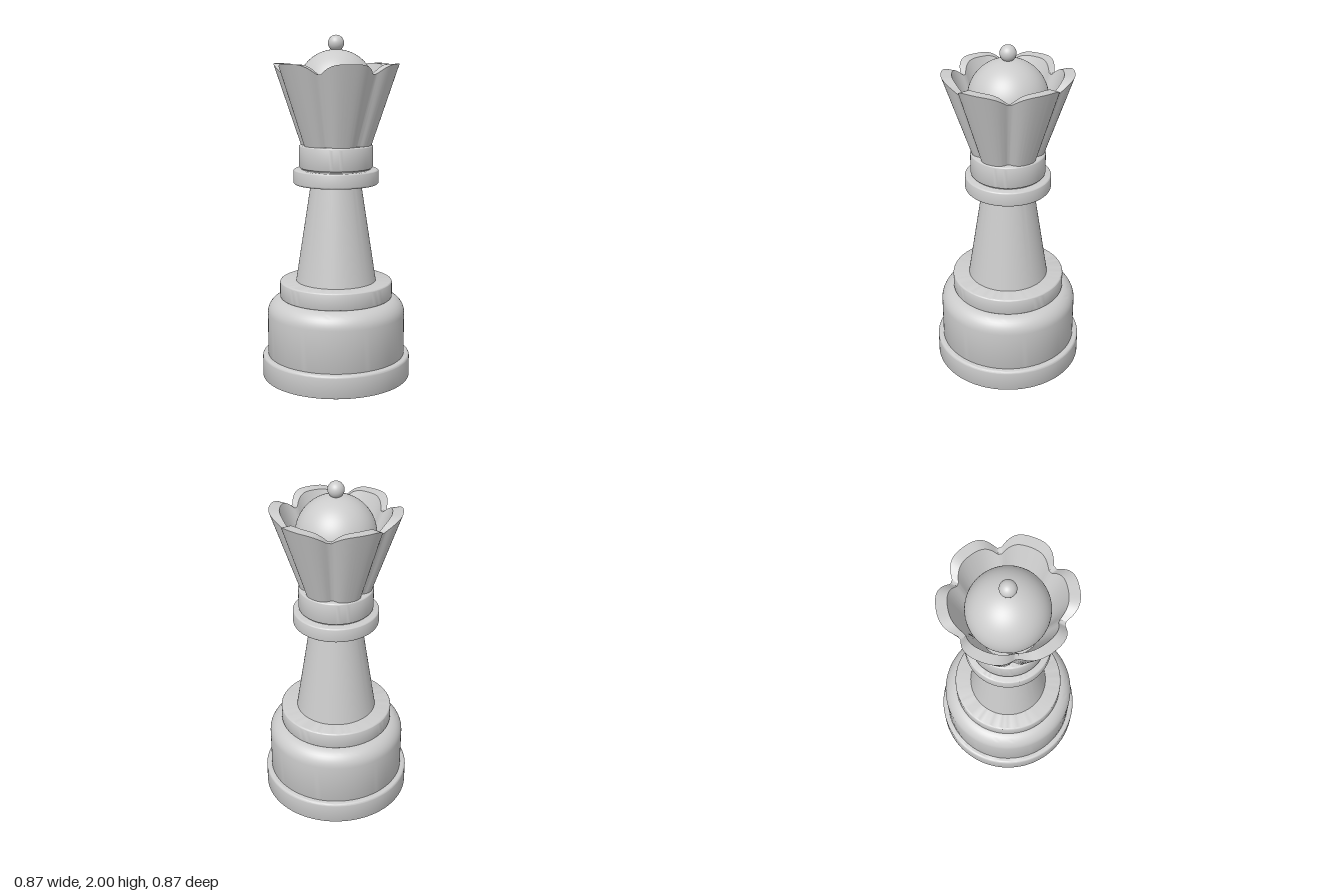
import * as THREE from 'three';
import { toCreasedNormals } from 'three/addons/utils/BufferGeometryUtils.js';

const material = new THREE.MeshStandardMaterial({ color: 0xcccccc });

function addPart(group, name, geometry) {
  const mesh = new THREE.Mesh(geometry, material);
  mesh.name = name;
  group.add(mesh);
  return mesh;
}

function lathe(points) {
  const geometry = new THREE.LatheGeometry(points.map(([r, y]) => new THREE.Vector2(r, y)), 96);
  return toCreasedNormals(geometry, 0.6);
}

// Quarter arc turning from the side wall (turn = 0) to the top (turn = 1)
function arc(points, cx, cy, radius, from, to, steps = 5) {
  for (let i = 0; i <= steps; i++) {
    const a = from + ((to - from) * i) / steps;
    points.push([cx + radius * Math.cos(a), cy + radius * Math.sin(a)]);
  }
}

// Solid disc with separately rounded bottom and top edges
function disc(radius, y0, y1, bottom = 0.012, top = 0.012) {
  const points = [[0, y0]];
  arc(points, radius - bottom, y0 + bottom, bottom, -Math.PI / 2, 0);
  arc(points, radius - top, y1 - top, top, 0, Math.PI / 2, top > 0.05 ? 10 : 5);
  points.push([0, y1]);
  return lathe(points);
}

// Flared cup with six petals, lofted through rings that share one lobed outline
function crownGeometry() {
  const N = 192, turn = 0.04;
  // [valley radius, petal radius, valley height, petal height]
  const rings = [
    [0, 0, 1.37, 1.37],
    [0.175, 0.204, 1.37, 1.37],
    [0.31, 0.363, 1.785, 1.84],
    [0.275, 0.304, 1.78, 1.838],
    [0.165, 0.185, 1.5, 1.5],
    [0, 0, 1.5, 1.5],
  ];
  const positions = [], index = [];
  for (const [r0, r1, y0, y1] of rings) {
    for (let j = 0; j < N; j++) {
      const a = (j / N) * Math.PI * 2;
      const t = Math.max(0, (Math.abs(Math.sin(3 * a)) - 0.12) / 0.88);
      const lobe = Math.sin((t * Math.PI) / 2);
      const r = r0 + (r1 - r0) * lobe;
      positions.push(r * Math.cos(a + turn), y0 + (y1 - y0) * lobe, r * Math.sin(a + turn));
    }
  }
  for (let i = 0; i < rings.length - 1; i++) {
    for (let j = 0; j < N; j++) {
      const k = (j + 1) % N;
      const a = i * N + j, b = a + N, c = i * N + k, d = c + N;
      if (i > 0) index.push(a, b, c);
      else index.push(a, b, d);
      if (i > 0 && i < rings.length - 2) index.push(b, d, c);
    }
  }
  const geometry = new THREE.BufferGeometry();
  geometry.setAttribute('position', new THREE.Float32BufferAttribute(positions, 3));
  geometry.setIndex(index);
  return toCreasedNormals(geometry, 0.6);
}

export function createModel() {
  const group = new THREE.Group();
  group.name = 'chessQueen';

  // Stepped base
  addPart(group, 'foot', disc(0.437, 0, 0.135, 0.004, 0.016));
  addPart(group, 'baseDrum', disc(0.405, 0.13, 0.478, 0.004, 0.095));
  addPart(group, 'baseRing', disc(0.331, 0.475, 0.577));

  // Tapering stem
  addPart(group, 'stem', lathe([[0, 0.57], [0.236, 0.57], [0.145, 1.16], [0, 1.16]]));

  // Collars under the crown
  addPart(group, 'lowerCollar', disc(0.247, 1.15, 1.237));
  addPart(group, 'collarNeck', disc(0.2, 1.23, 1.25, 0.001, 0.001));
  addPart(group, 'upperCollar', disc(0.214, 1.243, 1.377));

  // Crown with dome and ball
  addPart(group, 'crown', crownGeometry());
  addPart(group, 'dome', new THREE.SphereGeometry(0.225, 64, 40)).position.y = 1.695;
  addPart(group, 'ball', new THREE.SphereGeometry(0.046, 32, 20)).position.y = 1.954;

  return group;
}
